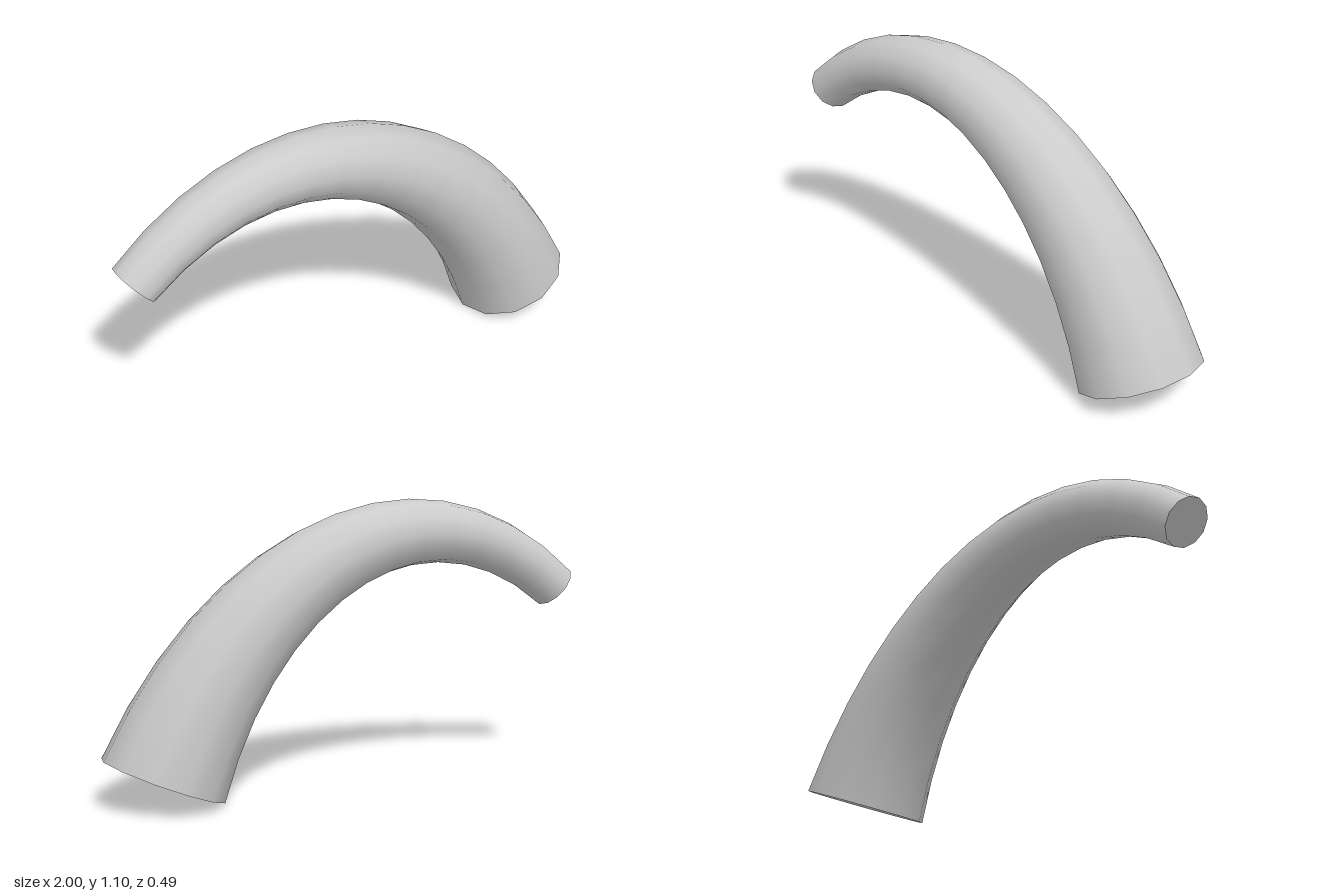
import * as THREE from 'three';

// Curved, tapering horn: a capped 12-sided cylinder bent along a Bezier spine.
const start = new THREE.Vector3(-0.9375, 0.7275, 0);
const end = new THREE.Vector3(0.7725, 0.0925, 0);
const spine = new THREE.CubicBezierCurve3(
  start,
  start.clone().add(new THREE.Vector3(0.757, 0.653, 0).multiplyScalar(0.78)),
  end.clone().sub(new THREE.Vector3(0.38, -0.925, 0).multiplyScalar(0.9)),
  end
);

// Radius grows slowly at the tip and faster toward the base
const radiusAt = (t) => 0.096 + 0.147 * (0.45 * t + 0.55 * t * t);

function bendAlongSpine(geometry) {
  const pos = geometry.attributes.position;
  const nor = geometry.attributes.normal;
  const v = new THREE.Vector3();
  const n = new THREE.Vector3();
  const across = new THREE.Vector3();
  const side = new THREE.Vector3(0, 0, 1);
  const frame = new THREE.Matrix4();
  for (let i = 0; i < pos.count; i++) {
    v.fromBufferAttribute(pos, i);
    n.fromBufferAttribute(nor, i);
    const t = THREE.MathUtils.clamp(v.y + 0.5, 0, 1);
    const tangent = spine.getTangent(t);
    across.set(tangent.y, -tangent.x, 0);
    frame.makeBasis(across, tangent, side);
    const r = radiusAt(t);
    v.set(v.x * r, 0, v.z * r).applyMatrix4(frame).add(spine.getPoint(t));
    n.applyMatrix4(frame).normalize();
    pos.setXYZ(i, v.x, v.y, v.z);
    nor.setXYZ(i, n.x, n.y, n.z);
  }
  return geometry;
}

export function createModel() {
  const group = new THREE.Group();
  group.name = 'curvedHorn';
  const horn = new THREE.Mesh(
    bendAlongSpine(new THREE.CylinderGeometry(1, 1, 1, 12, 14)),
    new THREE.MeshStandardMaterial({ color: 0xcccccc })
  );
  horn.name = 'horn';
  group.add(horn);
  return group;
}
